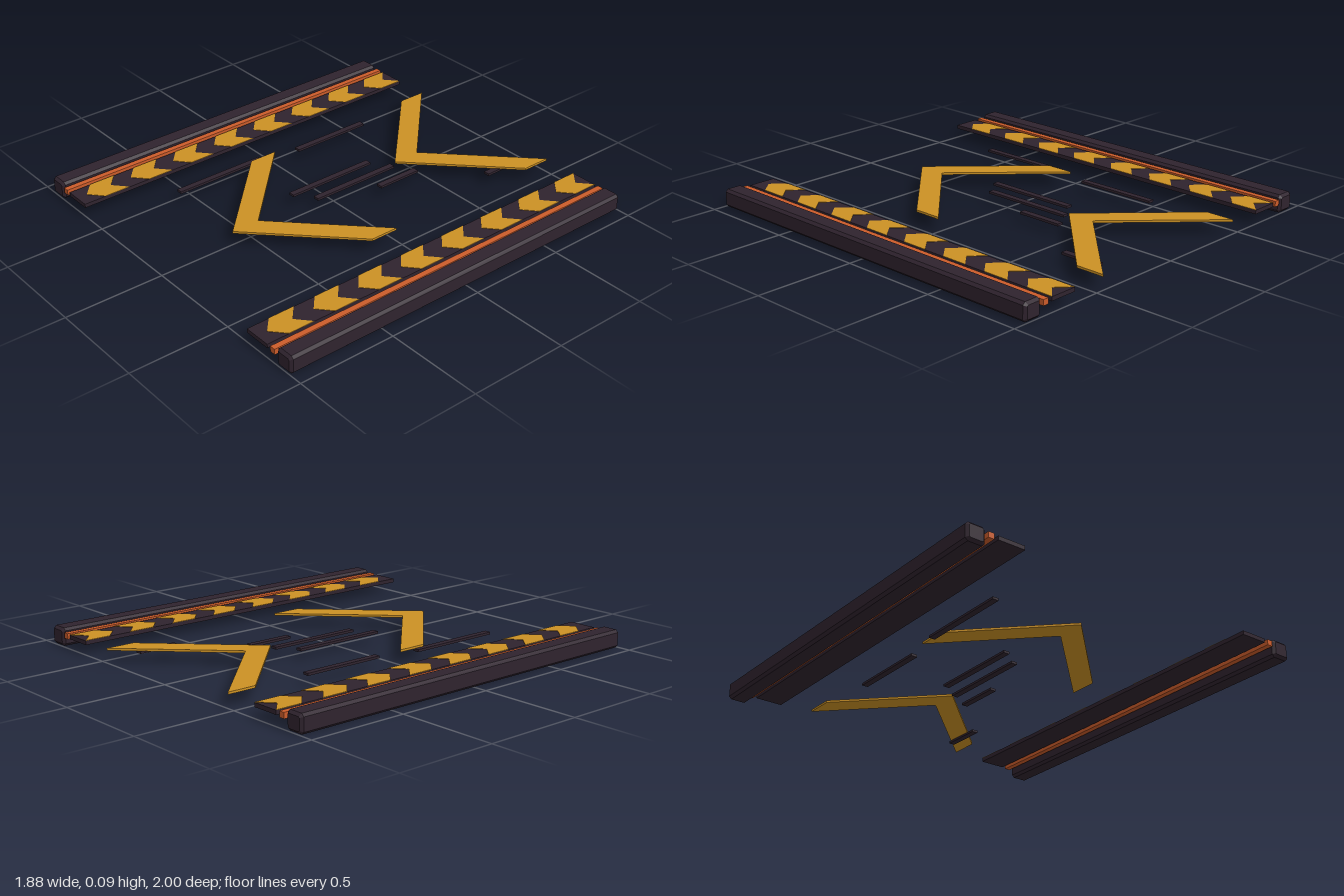
import * as THREE from 'three';

const mat = (name, color) => {
  const m = new THREE.MeshStandardMaterial({ color });
  m.name = name;
  return m;
};

// Flat V pointing to +z: arms start at z0, tip lies `drop` further, band is `band` long in z
function chevronGeometry(half, z0, drop, band, y, height) {
  const pts = [
    [-half, z0], [0, z0 + drop], [half, z0],
    [half, z0 + band], [0, z0 + drop + band], [-half, z0 + band],
  ].map(([x, z]) => new THREE.Vector2(x, -z));
  const g = new THREE.ExtrudeGeometry(new THREE.Shape(pts), { depth: height, bevelEnabled: false });
  return g.rotateX(-Math.PI / 2).translate(0, y, 0);
}

// Long bar along z with every edge chamfered
function chamferedBar(w, h, length, c) {
  const x = w / 2 - c, y = h / 2 - c, k = c * 0.4;
  const pts = [[x, -y + k], [x, y - k], [x - k, y], [-x + k, y], [-x, y - k], [-x, -y + k], [-x + k, -y], [x - k, -y]];
  const shape = new THREE.Shape(pts.map(p => new THREE.Vector2(...p)));
  const g = new THREE.ExtrudeGeometry(shape, {
    depth: length - 2 * c, bevelEnabled: true, bevelSegments: 1, bevelSize: c, bevelThickness: c,
  });
  return g.translate(0, 0, -length / 2 + c);
}

export function createModel() {
  const model = new THREE.Group();
  model.name = 'trackSection';
  const dark = mat('darkPlum', 0x2f232e);
  const yellow = mat('hazardYellow', 0xcc9124);
  const orange = mat('glowOrange', 0xcb5c2a);

  const add = (parent, name, geometry, material, x = 0, y = 0, z = 0) => {
    const mesh = new THREE.Mesh(geometry, material);
    mesh.name = name;
    mesh.position.set(x, y, z);
    parent.add(mesh);
  };

  // Side borders: outer rail, light strip and striped plate
  const railGeo = chamferedBar(0.098, 0.09, 2, 0.013);
  const stripGeo = new THREE.BoxGeometry(0.03, 0.028, 2);
  const plateGeo = new THREE.BoxGeometry(0.14, 0.02, 2);
  for (const side of [-1, 1]) {
    const border = new THREE.Group();
    border.name = side > 0 ? 'leftBorder' : 'rightBorder';
    add(border, 'rail', railGeo, dark, side * 0.889, 0.045);
    add(border, 'lightStrip', stripGeo, orange, side * 0.815, 0.059);
    add(border, 'stripePlate', plateGeo, dark, side * 0.71, 0.06);
    for (let i = 0; i < 8; i++) {
      add(border, 'stripe', chevronGeometry(0.07, -1 + i * 0.25, 0.062, 0.135, 0.07, 0.002), yellow, side * 0.71);
    }
    model.add(border);
  }

  // Large direction arrows on the lane
  for (const z of [-1, 0]) {
    add(model, 'laneArrow', chevronGeometry(0.46, z, 0.455, 0.148, 0.061, 0.011), yellow);
  }

  // Scattered skid marks: x, start z, end z
  const marks = [
    [-0.427, -0.545, -0.115], [-0.101, -0.31, 0.178], [0, -0.378, 0.108],
    [0.107, -0.44, -0.2], [0.355, -0.895, -0.685], [-0.47, 0.09, 0.577],
  ];
  for (const [x, a, b] of marks) {
    add(model, 'skidMark', new THREE.BoxGeometry(0.032, 0.012, b - a), dark, x, 0.056, (a + b) / 2);
  }
  return model;
}
